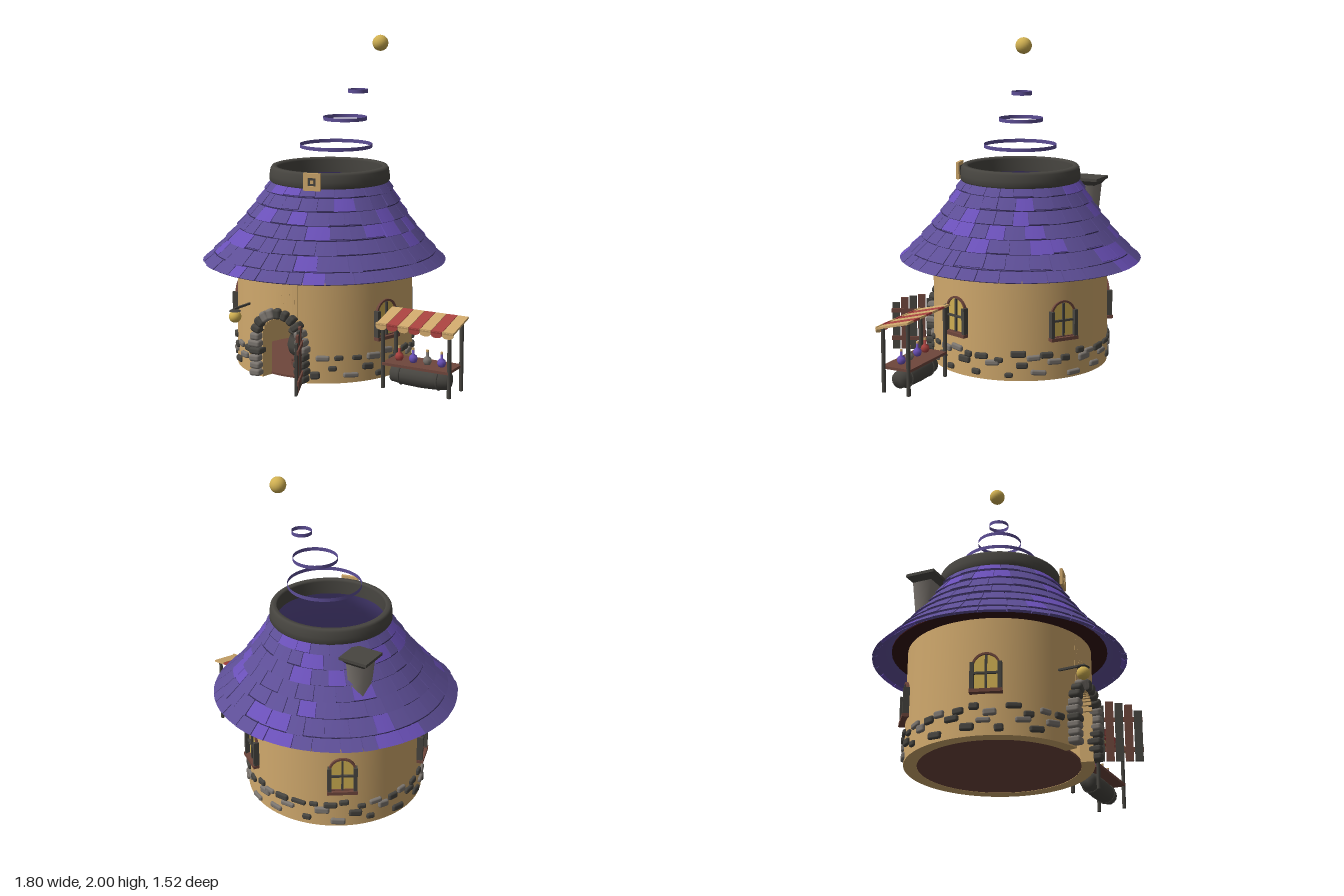
import * as THREE from 'three';
import { RoundedBoxGeometry } from 'three/addons/geometries/RoundedBoxGeometry.js';

const mat = (name, color, side = THREE.FrontSide) => {
  const m = new THREE.MeshStandardMaterial({ color, side });
  m.name = name;
  return m;
};
const CX = -0.155, CZ = -0.02, R = 0.535;

export function createModel() {
  const plaster = mat('plaster tan', 0xcfa86c), purple = mat('roof purple', 0x5d4e96, THREE.DoubleSide);
  const violet = mat('bright violet', 0x6a50b8), deep = mat('deep purple', 0x3a3060, THREE.DoubleSide);
  const iron = mat('iron grey', 0x474540), stone = mat('stone grey', 0x7b756f);
  const wood = mat('wood brown', 0x6e463c), red = mat('red', 0xa8423f);
  const gold = mat('gold', 0xd0b052), maroon = mat('dark maroon', 0x330e0e, THREE.DoubleSide);

  const root = new THREE.Group();
  let seed = 7;
  const rnd = () => (seed = (seed * 16807) % 2147483647) / 2147483647;
  const lerp = THREE.MathUtils.lerp;
  const group = (name, parent = root) => {
    const g = new THREE.Group();
    g.name = name;
    parent.add(g);
    return g;
  };
  const add = (parent, name, geo, m, x = 0, y = 0, z = 0) => {
    const mesh = new THREE.Mesh(geo, m);
    mesh.name = name;
    mesh.position.set(x, y, z);
    parent.add(mesh);
    return mesh;
  };
  const box = (w, h, d) => new THREE.BoxGeometry(w, h, d);
  const cyl = (r, h, n = 12, r2 = r) => new THREE.CylinderGeometry(r2, r, h, n);
  const ball = (r) => new THREE.SphereGeometry(r, 20, 14);
  const lathe = (pts, n = 32) => new THREE.LatheGeometry(pts.map(p => new THREE.Vector2(...p)), n);
  // box bent round the tower; place(v, d) gives [radius, y] for height v and depth d, both 0..1
  const bent = (a0, a1, n, place) => {
    const g = new THREE.BoxGeometry(1, 1, 1, n, 1, 1), p = g.attributes.position;
    for (let i = 0; i < p.count; i++) {
      const a = lerp(a0, a1, p.getX(i) + 0.5);
      const [r, y] = place(p.getY(i) + 0.5, p.getZ(i) + 0.5);
      const lean = Math.max(0, y - 0.63) / 0.49;
      p.setXYZ(i, CX + 0.028 * lean + r * Math.sin(a), y, CZ - 0.013 * lean + r * Math.cos(a));
    }
    g.computeVertexNormals();
    return g;
  };
  // group on the wall facing outwards at angle a from the front
  const onWall = (name, a, r = R) => {
    const g = group(name);
    g.position.set(CX + r * Math.sin(a), 0, CZ + r * Math.cos(a));
    g.rotation.y = a;
    return g;
  };

  // Round wall with an arched doorway
  const wall = group('wall'), da = 0.225, top = 0.7;
  const wallPart = (a0, a1, n, y0) =>
    add(wall, 'wallSection', bent(a0, a1, n, (v, d) => [lerp(0.465, R + 0.006 * (1 - v), d), lerp(y0, top, v)]), plaster);
  wallPart(da, Math.PI * 2 - da, 72, 0);
  for (let i = 0; i < 14; i++) {
    const a0 = lerp(-da, da, i / 14), a1 = lerp(-da, da, (i + 1) / 14), s = (a0 + a1) / 2 / da;
    wallPart(a0, a1, 1, 0.25 + 0.12 * Math.sqrt(1 - s * s));
  }
  add(root, 'floor', cyl(0.468, 0.012, 48), wood, CX, 0.008, CZ);
  add(root, 'atticFloor', cyl(0.63, 0.006, 48), maroon, CX, 0.69, CZ);

  // Roof: overlapping rows of shingles on a curved, leaning profile
  const roof = group('roof');
  const profile = new THREE.SplineCurve([[0.728, 0.632], [0.605, 0.76], [0.5, 0.89], [0.41, 1.02], [0.345, 1.135]]
    .map(p => new THREE.Vector2(...p)));
  add(roof, 'roofLining', (() => {
    const pts = [];
    for (let i = 0; i <= 12; i++) {
      const q = profile.getPoint(0.03 + 0.97 * i / 12);
      pts.push([q.x - 0.008, q.y]);
    }
    const g = lathe(pts, 56), p = g.attributes.position;
    for (let i = 0; i < p.count; i++) {
      const lean = Math.max(0, p.getY(i) - 0.63) / 0.49;
      p.setXYZ(i, CX + 0.028 * lean + p.getX(i), p.getY(i), CZ - 0.013 * lean + p.getZ(i));
    }
    return g;
  })(), purple);
  const rows = 7;
  for (let j = 0; j < rows; j++) {
    const n = 34 - 2 * j, cuts = [];
    for (let i = 0; i < n; i++) cuts.push((i + (j % 2) / 2 + (rnd() - 0.5) * 0.5) * Math.PI * 2 / n);
    cuts.push(cuts[0] + Math.PI * 2);
    for (let i = 0; i < n; i++) {
      const t0 = Math.max(0, (j - 0.15 * rnd()) / rows), t1 = Math.min(1, (j + 1.1) / rows), lift = 0.013 + 0.006 * rnd();
      const geo = bent(cuts[i] + 0.004, cuts[i + 1] - 0.004, 3, (v, d) => {
        const q = profile.getPoint(lerp(t0, t1, v));
        return [q.x + d * lerp(lift, 0.004, v) - 0.002, q.y + d * lerp(0.008, 0.002, v)];
      });
      const k = rnd();
      add(roof, 'shingle', geo, k < 0.18 ? violet : purple);
    }
    // shadow gap under each row
    if (j) {
      const q = profile.getPoint(j / rows - 0.012);
      add(roof, 'rowGap', bent(0, Math.PI * 2, 56, (v, d) => [q.x + 0.004 + 0.004 * d, q.y + 0.006 * v]), deep);
    }
  }

  // Hat band with buckle
  add(root, 'hatBand', lathe([[0.322, 1.12], [0.355, 1.115], [0.366, 1.13], [0.366, 1.16], [0.36, 1.2], [0.35, 1.214],
    [0.325, 1.214], [0.322, 1.2], [0.322, 1.12]], 56), iron, -0.125, 0, -0.033);
  const buckle = group('buckle');
  buckle.position.set(-0.033, 1.167, 0.328);
  buckle.rotation.y = 0.22;
  const sq = (C, s) => {
    const k = new C();
    k.moveTo(-s, -s); k.lineTo(s, -s); k.lineTo(s, s); k.lineTo(-s, s); k.closePath();
    return k;
  };
  const frame = sq(THREE.Shape, 0.052);
  frame.holes.push(sq(THREE.Path, 0.024));
  add(buckle, 'buckleFrame', new THREE.ExtrudeGeometry(frame, { depth: 0.018, bevelEnabled: false }), plaster);
  add(buckle, 'buckleBack', box(0.06, 0.06, 0.012), iron, 0, 0, 0.005);
  add(buckle, 'buckleStud', box(0.02, 0.02, 0.02), plaster, 0, 0, 0.008);

  // Floating hoops and ball
  for (const [x, y, z, r] of [[-0.09, 1.335, -0.05, 0.22], [-0.043, 1.5, -0.078, 0.132], [0.025, 1.665, -0.117, 0.06]])
    add(root, 'floatingHoop', new THREE.CylinderGeometry(r, r, 0.022, 48, 1, true), purple, x, y, z);
  add(root, 'floatingBall', ball(0.048), gold, 0.14, 1.952, -0.185);

  // Chimney
  const chimney = group('chimney');
  chimney.position.set(-0.505, 0, -0.325);
  add(chimney, 'chimneyStack', cyl(0.06, 0.24, 4, 0.085).rotateY(Math.PI / 4), stone, 0, 0.94, 0);
  add(chimney, 'chimneyCollar', cyl(0.08, 0.035, 4, 0.12).rotateY(Math.PI / 4), iron, 0, 1.072, 0);
  add(chimney, 'chimneyCap', box(0.18, 0.018, 0.18), iron, 0, 1.097, 0);

  // Arched windows, one on each remaining fifth of the wall
  const archShape = (w, y0, y1) => {
    const s = new THREE.Shape();
    s.moveTo(-w, y0); s.lineTo(w, y0); s.lineTo(w, y1 - w);
    s.absarc(0, y1 - w, w, 0, Math.PI); s.closePath();
    return s;
  };
  for (let i = 1; i < 5; i++) {
    const w = onWall('window', i * Math.PI * 0.4);
    const rim = archShape(0.08, 0.25, 0.475);
    rim.holes.push(archShape(0.068, 0.262, 0.463));
    add(w, 'windowRim', new THREE.ExtrudeGeometry(rim, { depth: 0.03, bevelEnabled: false }), wood, 0, 0, -0.015);
    add(w, 'windowPane', new THREE.ExtrudeGeometry(archShape(0.07, 0.26, 0.465), { depth: 0.008, bevelEnabled: false }), gold, 0, 0, -0.003);
    for (const x of [-0.077, 0, 0.077])
      add(w, 'windowBar', box(x ? 0.022 : 0.012, x ? 0.17 : 0.2, x ? 0.045 : 0.02), iron, x, x ? 0.33 : 0.36, 0.008);
    add(w, 'windowCrossbar', box(0.14, 0.012, 0.02), iron, 0, 0.355, 0.008);
    add(w, 'windowSill', box(0.18, 0.02, 0.05), wood, 0, 0.247, 0.01);
  }

  // Loose stones round the foot of the wall
  const rock = (parent, x, y, z, w, h, d, turn) => {
    const m = add(parent, 'stone', new RoundedBoxGeometry(w, h, d, 2, Math.min(w, h, d) * 0.35), rnd() < 0.5 ? stone : iron, x, y, z);
    m.rotation.z = turn;
  };
  for (let i = 0; i < 60; i++) {
    const a = 0.4 + (Math.PI * 2 - 0.8) * (i + rnd() * 0.7) / 60;
    const y = [0.045, 0.155, 0.1, 0.14][i % 4] + (rnd() - 0.5) * 0.03;
    rock(onWall('wallStone', a, R + 0.004), 0, y, 0, 0.05 + rnd() * 0.045, 0.028 + rnd() * 0.018, 0.035, (rnd() - 0.5) * 0.2);
  }
  // Door arch
  const arch = group('doorArch');
  for (let i = 0; i <= 10; i++) {
    const t = Math.PI * i / 10;
    rock(arch, CX + 0.155 * Math.cos(t), 0.25 + 0.155 * Math.sin(t), 0.515, 0.06 + rnd() * 0.01, 0.046, 0.075, t);
  }
  for (const s of [-1, 1])
    for (let i = 0; i < 5; i++)
      rock(arch, CX + s * (0.15 + 0.012 * rnd()), 0.03 + 0.044 * i, 0.51, 0.065 + rnd() * 0.018, 0.042, 0.085, (rnd() - 0.5) * 0.1);

  // Open plank door
  const door = group('door');
  door.position.set(-0.005, 0, 0.51);
  door.rotation.y = -1.15;
  [0.33, 0.355, 0.345, 0.335, 0.3].forEach((h, i) =>
    add(door, 'doorPlank', box(0.046, h, 0.014), i % 2 ? wood : iron, 0.027 + 0.054 * i, h / 2 + 0.008, 0));
  for (const y of [0.08, 0.26]) add(door, 'doorBrace', box(0.27, 0.025, 0.01), wood, 0.135, y, -0.011);

  // Cauldron and shelves inside
  const room = group('interior');
  add(room, 'cauldron', lathe([[0, 0.05], [0.06, 0.058], [0.105, 0.095], [0.118, 0.14], [0.105, 0.19], [0.092, 0.21],
    [0.11, 0.222], [0.11, 0.232], [0.085, 0.232], [0.08, 0.21], [0, 0.21]]), iron, CX, 0, 0.2);
  for (let i = 0; i < 3; i++) {
    const log = add(room, 'log', cyl(0.016, 0.2, 8).rotateZ(Math.PI / 2), wood, CX, 0.034, 0.2);
    log.rotation.y = i * Math.PI / 3;
  }
  for (const y of [0.235, 0.28]) add(room, 'shelf', box(0.34, 0.012, 0.08), wood, CX, y, -0.4);
  for (const [x, y, m] of [[-0.2, 0.31, gold], [-0.12, 0.31, gold], [-0.2, 0.262, gold], [-0.26, 0.2, red]]) {
    add(room, 'jar', ball(0.022), m, x, y, -0.39);
    add(room, 'jarNeck', cyl(0.008, 0.03, 8), m, x, y + 0.025, -0.39);
  }

  // Hanging lantern
  const lantern = group('lantern');
  add(lantern, 'lanternGlobe', ball(0.037), gold, -0.402, 0.375, 0.605);
  add(lantern, 'lanternCap', cyl(0.036, 0.01, 16, 0.02), iron, -0.402, 0.413, 0.605);
  const arm = add(lantern, 'lanternArm', box(0.012, 0.012, 0.17), iron, -0.398, 0.422, 0.53);
  arm.rotation.y = -0.05;

  // Market stall
  const stall = group('stall');
  for (const x of [0.445, 0.865])
    for (const [z, h] of [[0.18, 0.42], [0.345, 0.385]]) add(stall, 'post', cyl(0.012, h, 10), iron, x, h / 2, z);
  add(stall, 'counter', box(0.42, 0.016, 0.19), wood, 0.655, 0.147, 0.263);
  const scallop = new THREE.Shape();
  scallop.moveTo(-0.034, 0.01); scallop.lineTo(-0.034, -0.012);
  scallop.quadraticCurveTo(-0.03, -0.03, 0, -0.03); scallop.quadraticCurveTo(0.03, -0.03, 0.034, -0.012);
  scallop.lineTo(0.034, 0.01);
  for (let i = 0; i < 7; i++) {
    const x = 0.655 + (i - 3) * 0.07, m = i % 2 ? red : plaster;
    add(stall, 'awningStripe', box(0.067, 0.012, 0.22), m, x, 0.406, 0.268).rotation.x = 0.25;
    add(stall, 'awningScallop', new THREE.ExtrudeGeometry(scallop, { depth: 0.008, bevelEnabled: false }), m, x, 0.381, 0.366);
  }
  const barrel = [[0, -0.18], [0.05, -0.18], [0.06, -0.09], [0.063, 0], [0.06, 0.09], [0.05, 0.18], [0, 0.18]];
  add(stall, 'barrel', lathe(barrel, 14).rotateZ(Math.PI / 2), iron, 0.65, 0.073, 0.263);
  for (const x of [-0.12, 0.12])
    add(stall, 'barrelHoop', new THREE.TorusGeometry(0.057, 0.006, 6, 20).rotateY(Math.PI / 2), iron, 0.65 + x, 0.073, 0.263);
  [red, violet, stone, violet].forEach((m, i) => {
    const x = 0.515 + 0.09 * i;
    add(stall, 'bottle', lathe([[0, 0], [0.018, 0.002], [0.026, 0.02], [0.022, 0.038], [0.008, 0.05], [0.008, 0.075], [0, 0.075]], 14), m, x, 0.156, 0.275);
    add(stall, 'cork', cyl(0.008, 0.014, 8), plaster, x, 0.236, 0.275);
  });
  return root;
}
